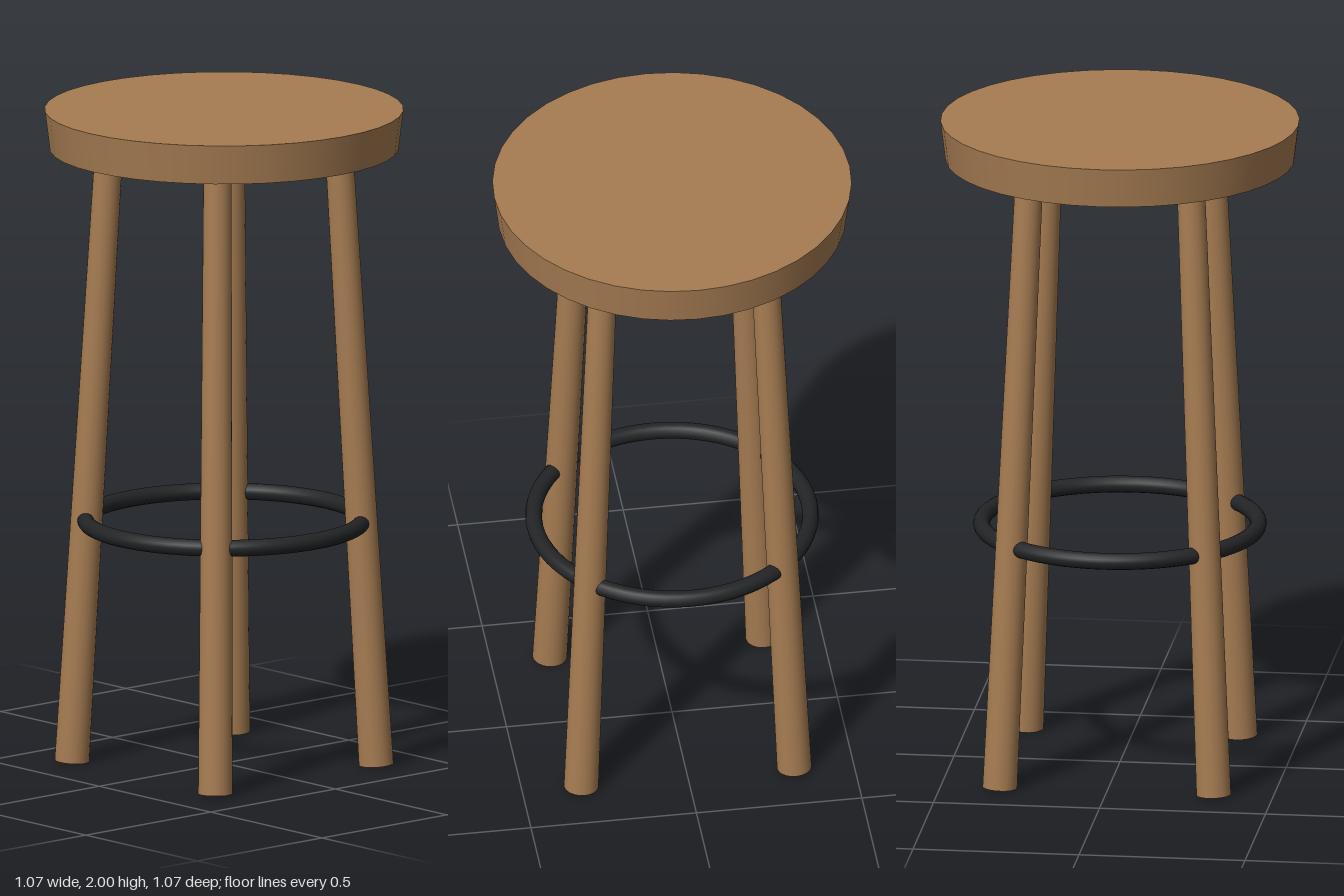
import * as THREE from 'three';

const wood = new THREE.MeshStandardMaterial({ color: 0xa67c52 });
const darkMetal = new THREE.MeshStandardMaterial({ color: 0x222426 });

// Tapered round rod between two points
function rod(bottom, top, bottomRadius, topRadius) {
  const axis = top.clone().sub(bottom);
  const mesh = new THREE.Mesh(
    new THREE.CylinderGeometry(topRadius, bottomRadius, axis.length(), 24), wood);
  mesh.position.copy(bottom).add(top).multiplyScalar(0.5);
  mesh.quaternion.setFromUnitVectors(new THREE.Vector3(0, 1, 0), axis.normalize());
  return mesh;
}

export function createModel() {
  const stool = new THREE.Group();
  stool.name = 'barStool';

  // Round seat, slightly narrower underneath
  const seat = new THREE.Mesh(new THREE.CylinderGeometry(0.537, 0.522, 0.12, 40), wood);
  seat.name = 'seat';
  seat.position.y = 1.94;
  stool.add(seat);

  // Four splayed legs on the diagonals
  for (const [front, z] of [['front', 1], ['back', -1]]) {
    for (const [side, x] of [['Left', 1], ['Right', -1]]) {
      const leg = rod(
        new THREE.Vector3(0.322 * x, 0.004, 0.322 * z),
        new THREE.Vector3(0.243 * x, 1.89, 0.243 * z), 0.052, 0.042);
      leg.name = front + side + 'Leg';
      stool.add(leg);
    }
  }

  // Ring footrest running through the legs
  const footrest = new THREE.Mesh(new THREE.TorusGeometry(0.414, 0.025, 14, 64), darkMetal);
  footrest.name = 'footrestRing';
  footrest.rotation.x = Math.PI / 2;
  footrest.position.y = 0.745;
  stool.add(footrest);

  return stool;
}
